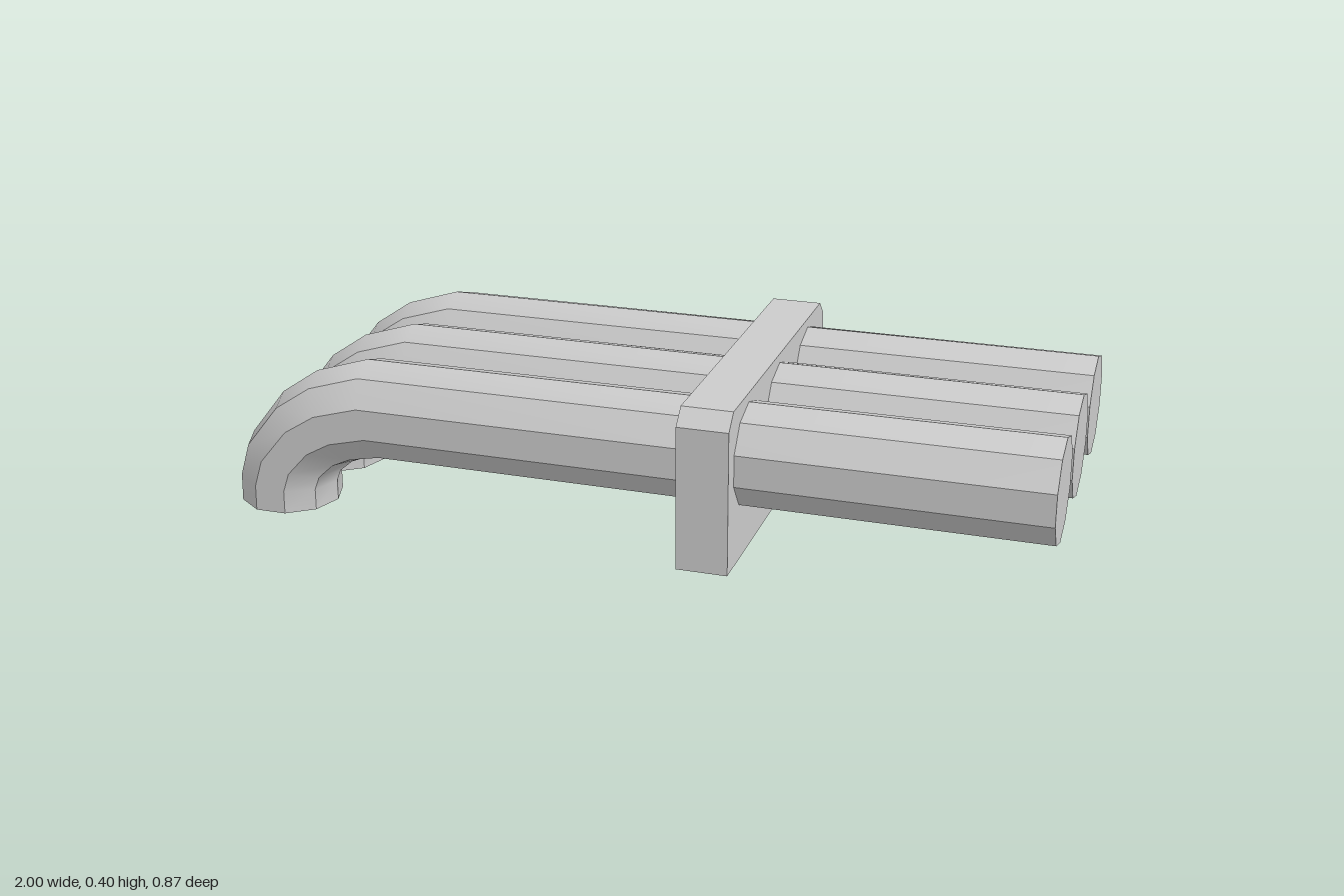
import * as THREE from 'three';
import { toCreasedNormals } from 'three/addons/utils/BufferGeometryUtils.js';

const SIDES = 10;
const RADIUS = 0.125;

// Bend cross-sections: [outer x, outer y, inner x, inner y], from foot to free end
const RINGS = [
  [-1.0, 0.0, -0.755, 0.0],
  [-0.998, 0.07, -0.755, 0.05],
  [-0.973, 0.155, -0.744, 0.078],
  [-0.885, 0.268, -0.712, 0.105],
  [-0.79, 0.333, -0.67, 0.122],
  [-0.655, 0.376, -0.6, 0.134],
  [1.0, 0.379, 1.0, 0.129],
];

// Ten-sided bent pipe with closed ends, creased along its length
function pipeGeometry() {
  const points = [];
  const index = [];
  for (const [ox, oy, ix, iy] of RINGS) {
    for (let j = 0; j < SIDES; j++) {
      const a = (j / SIDES) * Math.PI * 2;
      const c = Math.cos(a) / 2;
      points.push(
        (ox + ix) / 2 + (ox - ix) * c,
        (oy + iy) / 2 + (oy - iy) * c,
        RADIUS * Math.sin(a)
      );
    }
  }
  const last = RINGS.length - 1;
  for (let i = 0; i < last; i++) {
    for (let j = 0; j < SIDES; j++) {
      const k = (j + 1) % SIDES;
      const a = i * SIDES + j, b = i * SIDES + k;
      index.push(a, b, b + SIDES, a, b + SIDES, a + SIDES);
    }
  }
  // End caps
  const e = last * SIDES;
  for (let j = 1; j < SIDES - 1; j++) {
    index.push(0, j + 1, j, e, e + j, e + j + 1);
  }
  const geometry = new THREE.BufferGeometry();
  geometry.setAttribute('position', new THREE.Float32BufferAttribute(points, 3));
  geometry.setIndex(index);
  return toCreasedNormals(geometry, 0.52);
}

// Plate with two clipped top corners, extruded along x
function bracketGeometry() {
  const w = 0.434, bottom = 0.017, top = 0.4, cut = 0.037, depth = 0.122;
  const shape = new THREE.Shape([
    new THREE.Vector2(-w, bottom),
    new THREE.Vector2(w, bottom),
    new THREE.Vector2(w, top - cut),
    new THREE.Vector2(w - cut, top),
    new THREE.Vector2(-w + cut, top),
    new THREE.Vector2(-w, top - cut),
  ]);
  const geometry = new THREE.ExtrudeGeometry(shape, { depth, bevelEnabled: false });
  geometry.rotateY(Math.PI / 2);
  geometry.translate(0.164, 0, 0);
  return geometry;
}

export function createModel() {
  const group = new THREE.Group();
  group.name = 'pipeCluster';
  const material = new THREE.MeshStandardMaterial({ color: 0xcccccc });

  // Three parallel pipes
  const pipe = pipeGeometry();
  ['frontPipe', 'middlePipe', 'backPipe'].forEach((name, i) => {
    const mesh = new THREE.Mesh(pipe, material);
    mesh.name = name;
    mesh.position.z = 0.271 * (1 - i);
    group.add(mesh);
  });

  // Bracket holding the pipes together
  const bracket = new THREE.Mesh(bracketGeometry(), material);
  bracket.name = 'bracket';
  group.add(bracket);

  return group;
}
